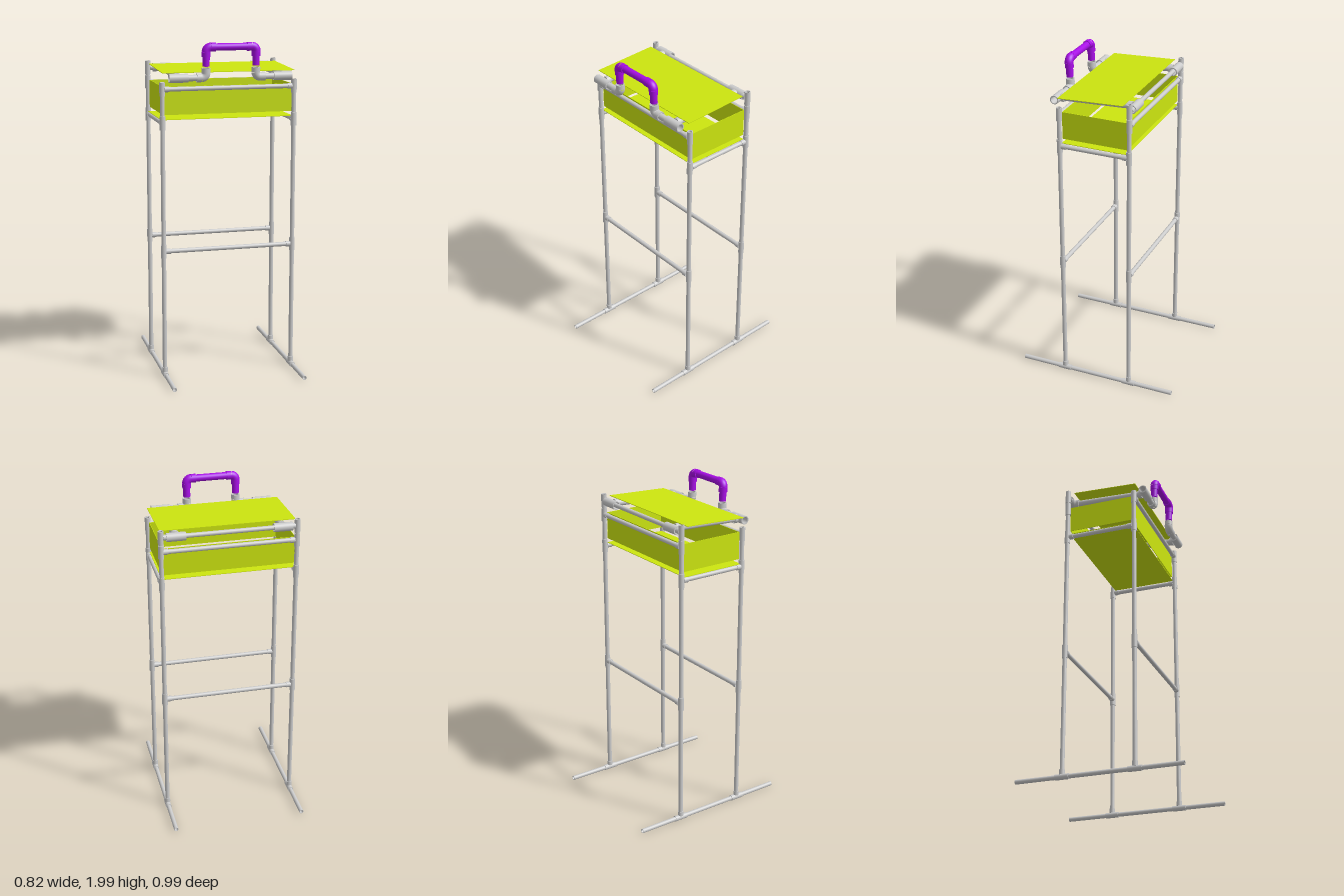
import * as THREE from 'three';

const grey = new THREE.MeshStandardMaterial({ color: 0xcccccc });
const lime = new THREE.MeshStandardMaterial({ color: 0xcce510 });
const purple = new THREE.MeshStandardMaterial({ color: 0xa80ee6 });

const V = (x, y, z) => new THREE.Vector3(x, y, z);
const PIPE = 0.0132, FITTING = 0.0167;     // frame pipe and fitting radii
const BAR = 0.0185, SOCKET = 0.0255;       // thicker lid pipe and fitting radii
const LEG_X = 0.395, LEG_Z = 0.214;

function add(parent, name, geometry, material) {
  const mesh = new THREE.Mesh(geometry, material);
  mesh.name = name;
  parent.add(mesh);
  return mesh;
}

// Hollow straight pipe from a to b; doubled corners keep the rims sharp
function pipe(parent, name, a, b, r = PIPE, material = grey) {
  const len = a.distanceTo(b), inner = r * 0.78;
  const ring = [[r, 0], [r, len], [r, len], [inner, len], [inner, len], [inner, 0], [inner, 0], [r, 0]];
  const geometry = new THREE.LatheGeometry(ring.map(p => new THREE.Vector2(...p)), 24);
  const mesh = add(parent, name, geometry, material);
  mesh.position.copy(a);
  mesh.quaternion.setFromUnitVectors(V(0, 1, 0), b.clone().sub(a).normalize());
}

// T fitting: a sleeve along one axis with a side branch
function tee(parent, name, center, axis, branch, half = 0.04, r = FITTING, reach = half) {
  const group = new THREE.Group();
  group.name = name;
  pipe(group, 'sleeve', center.clone().addScaledVector(axis, -half), center.clone().addScaledVector(axis, half), r);
  pipe(group, 'branch', center.clone().addScaledVector(branch, r * 0.75), center.clone().addScaledVector(branch, reach), r);
  parent.add(group);
}

// Elbow in the xy plane: quarter bend plus two straight sockets
function elbow(parent, name, center, sx, sy, material) {
  const group = new THREE.Group(), bend = 0.027, reach = 0.055;
  group.name = name;
  const px = center.clone().add(V(sx * bend, 0, 0));
  const py = center.clone().add(V(0, sy * bend, 0));
  const mid = center.clone().add(V(sx * bend, sy * bend, 0));
  const points = [];
  for (let i = 0; i <= 8; i++) {
    const t = i / 8 * Math.PI / 2;
    points.push(mid.clone().add(V(-sx * bend * Math.sin(t), -sy * bend * Math.cos(t), 0)));
  }
  add(group, 'bend', new THREE.TubeGeometry(new THREE.CatmullRomCurve3(points), 16, SOCKET, 24), material);
  pipe(group, 'sideSocket', px, center.clone().add(V(sx * reach, 0, 0)), SOCKET, material);
  pipe(group, 'uprightSocket', py, center.clone().add(V(0, sy * reach, 0)), SOCKET, material);
  parent.add(group);
}

function panel(parent, name, w, h, d, x, y, z) {
  add(parent, name, new THREE.BoxGeometry(w, h, d), lime).position.set(x, y, z);
}

export function createModel() {
  const model = new THREE.Group();
  model.name = 'liddedStand';
  const X = V(1, 0, 0), Y = V(0, 1, 0), Z = V(0, 0, 1);
  const footY = 0.022, midY = 0.78, shelfY = 1.54, railY = 1.735, pivotY = 1.822;

  // Feet, legs and side rails
  for (const s of [-1, 1]) {
    const x = s * LEG_X;
    pipe(model, 'foot', V(x, footY, -0.495), V(x, footY, 0.495));
    pipe(model, 'sideRail', V(x, shelfY, -LEG_Z + 0.015), V(x, shelfY, LEG_Z - 0.015));
    for (const f of [-1, 1]) {
      const z = f * LEG_Z, inward = V(-s, 0, 0);
      pipe(model, 'leg', V(x, footY + 0.014, z), V(x, f > 0 ? railY + 0.038 : pivotY + 0.038, z));
      tee(model, 'footTee', V(x, footY, z), Z, Y, 0.041);
      tee(model, 'middleTee', V(x, midY, z), Y, inward);
      tee(model, 'shelfTee', V(x, shelfY, z), Y, V(0, 0, -f));
      tee(model, 'railTee', V(x, railY, z), Y, inward);
      if (f < 0) tee(model, 'pivotTee', V(x, pivotY, z), Y, inward);
    }
  }

  // Cross bars, front and back
  const end = LEG_X - 0.015;
  for (const z of [-LEG_Z, LEG_Z]) {
    for (const y of [midY, railY]) pipe(model, 'crossBar', V(-end, y, z), V(end, y, z));
  }
  pipe(model, 'pivotBar', V(-end, pivotY, -LEG_Z), V(end, pivotY, -LEG_Z));

  // Box floor and four walls
  panel(model, 'floor', 0.79, 0.003, 0.4, -0.004, 1.557, 0.003);
  for (const s of [-1, 1]) {
    panel(model, 'longWall', 0.77, 0.163, 0.003, 0, 1.666, s * 0.197);
    panel(model, 'endWall', 0.003, 0.163, 0.397, s * 0.387, 1.666, 0);
  }

  // Lid hinged on the back bar, sloping down to the front
  const lid = new THREE.Group();
  lid.name = 'lid';
  lid.position.set(0, pivotY, -LEG_Z - 0.003);
  lid.rotation.x = 0.045;
  model.add(lid);
  const frontZ = 0.475, handleX = 0.148, handleY = 0.171;
  panel(lid, 'lidPanel', 0.79, 0.003, 0.397, 0, 0.026, 0.24);
  for (const s of [-1, 1]) {
    const x = s * 0.309;
    tee(lid, 'hingeTee', V(x, 0, 0), X, Z, 0.055, SOCKET, 0.042);
    tee(lid, 'frontTee', V(x, 0, frontZ), X, V(0, 0, -1), 0.055, SOCKET, 0.042);
    pipe(lid, 'lidArm', V(x, 0, 0.027), V(x, 0, frontZ - 0.027), BAR);
    pipe(lid, 'frontBar', V(s * 0.18, 0, frontZ), V(s * 0.3, 0, frontZ), BAR);
    // Handle uprights and elbows
    elbow(lid, 'lowerElbow', V(s * handleX, 0, frontZ), s, 1, grey);
    elbow(lid, 'upperElbow', V(s * handleX, handleY - 0.018 + 0.001, frontZ), -s, -1, purple);
    pipe(lid, 'handleUpright', V(s * handleX, 0.045, frontZ), V(s * handleX, 0.12, frontZ), 0.021, purple);
  }
  pipe(lid, 'handleGrip', V(-0.11, handleY - 0.017, frontZ), V(0.11, handleY - 0.017, frontZ), 0.021, purple);

  // Bring the handle top to its full height above the ground
  model.updateMatrixWorld(true);
  const box = new THREE.Box3().setFromObject(model, true);
  lid.children.filter(c => /upperElbow|handle/.test(c.name)).forEach(c => { c.position.y += 2 - box.max.y; });
  return model;
}
